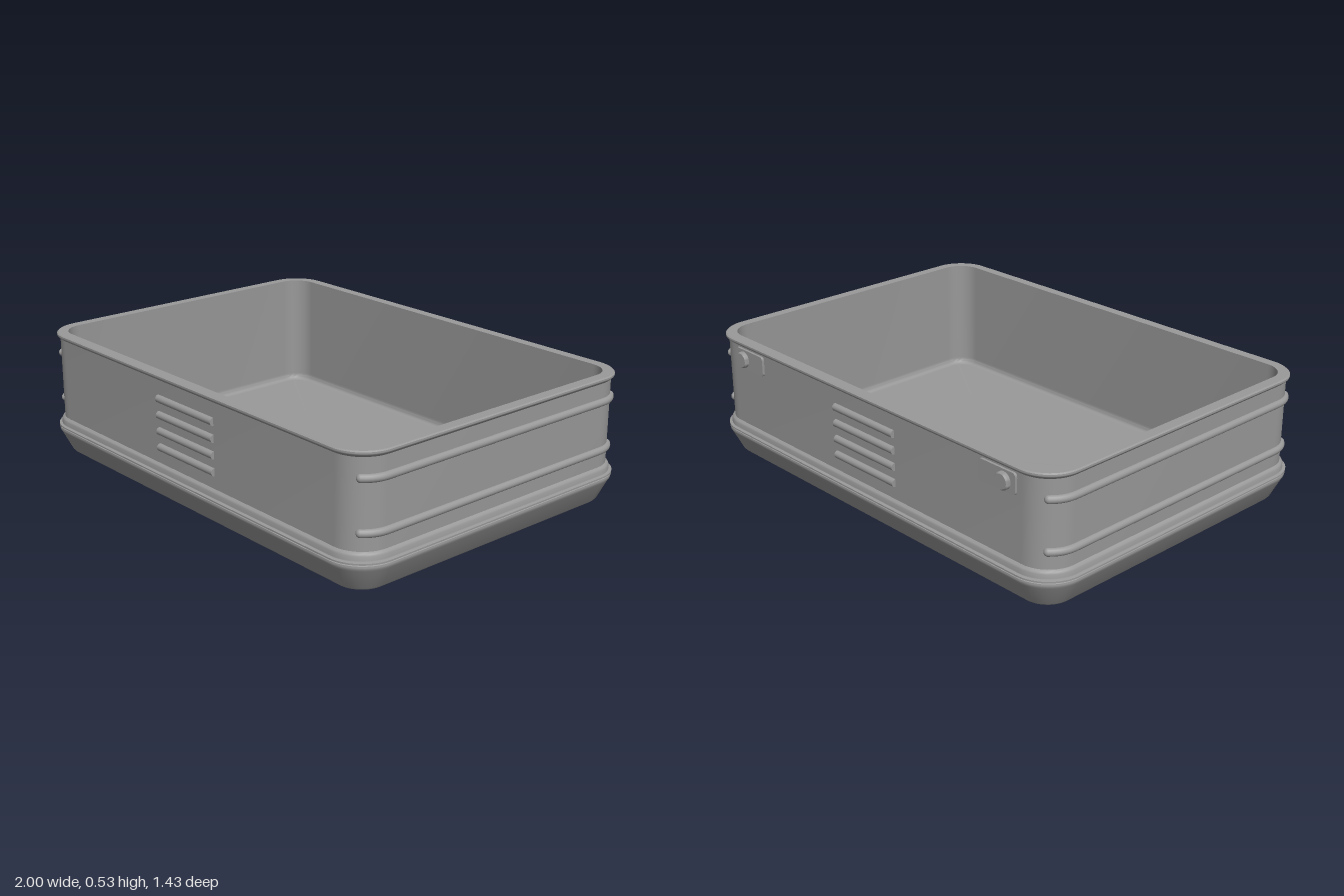
import * as THREE from 'three';
import { toCreasedNormals } from 'three/addons/utils/BufferGeometryUtils.js';

const HALF_W = 1, HALF_D = 0.717, CORNER = 0.155, CORNER_STEPS = 12;
const WALL = 0.026; // inset of the outer wall from the widest outline

// Rounded-rectangle ring at a given inset; a null inset collapses to the centre.
function ring(inset, y) {
  const pts = [];
  const r = CORNER - (inset ?? 0);
  for (let q = 0; q < 4; q++) {
    const sx = q === 0 || q === 3 ? 1 : -1, sz = q < 2 ? 1 : -1;
    for (let i = 0; i <= CORNER_STEPS; i++) {
      const a = (q + i / CORNER_STEPS) * Math.PI / 2;
      pts.push(inset === null ? [0, y, 0] : [
        sx * (HALF_W - CORNER) + r * Math.cos(a), y,
        sz * (HALF_D - CORNER) + r * Math.sin(a)]);
    }
  }
  return pts;
}

// Sweep an [inset, y] profile around the rounded rectangle.
function sweep(profile) {
  const rings = profile.map(([inset, y]) => ring(inset, y));
  const n = rings[0].length, pos = [];
  for (let k = 0; k < rings.length - 1; k++) {
    for (let j = 0; j < n; j++) {
      const m = (j + 1) % n;
      const a = rings[k][j], b = rings[k][m], c = rings[k + 1][j], d = rings[k + 1][m];
      if (profile[k][0] !== null) pos.push(...a, ...c, ...b);
      if (profile[k + 1][0] !== null) pos.push(...b, ...c, ...d);
    }
  }
  const g = new THREE.BufferGeometry();
  g.setAttribute('position', new THREE.Float32BufferAttribute(pos, 3));
  return toCreasedNormals(g, 0.6);
}

// Path along the right or left wall that wraps halfway round both corners.
function sidePath(s) {
  const pts = [], r = CORNER - WALL - 0.001;
  const cx = HALF_W - CORNER, cz = HALF_D - CORNER;
  const arc = (a, side) => pts.push(new THREE.Vector3(
    s * (cx + r * Math.cos(a)), 0, side * (cz + r * Math.sin(a))));
  for (let i = 6; i >= 0; i--) arc(i * Math.PI / 24, -1);
  for (let i = -4; i <= 4; i++) pts.push(new THREE.Vector3(s * (cx + r), 0, cz * i / 5));
  for (let i = 0; i <= 6; i++) arc(i * Math.PI / 24, 1);
  return new THREE.CatmullRomCurve3(pts);
}

export function createModel() {
  const group = new THREE.Group();
  const mat = new THREE.MeshStandardMaterial({ color: 0x999999 });
  const add = (name, geo, x = 0, y = 0, z = 0) => {
    const mesh = new THREE.Mesh(geo, mat);
    mesh.name = name;
    mesh.position.set(x, y, z);
    group.add(mesh);
  };

  // Tapered base, foot bead, wall, flared rim, inner wall and filleted floor
  add('trayShell', sweep([
    [null, 0], [0.078, 0], [0.068, 0], [0.057, 0.004], [0.049, 0.013],
    [0.008, 0.095], [0.003, 0.103], [0.001, 0.112], [0.002, 0.117],
    [0.008, 0.12], [0, 0.122], [0, 0.128], [0.012, 0.13],
    [0.013, 0.133], [0.013, 0.148], [0.017, 0.155], [0.022, 0.159], [WALL, 0.161],
    [WALL, 0.505], [0.021, 0.51], [0.014, 0.516], [0.012, 0.521],
    [0.013, 0.526], [0.018, 0.53], [0.06, 0.53],
    [0.06, 0.07], [0.06, 0.06], [0.063, 0.05], [0.07, 0.043], [0.08, 0.04], [0.09, 0.04],
    [null, 0.04],
  ]));

  // Long ribs on both ends, wrapping into the corners, with rounded tips
  const tip = new THREE.SphereGeometry(0.016, 16, 12);
  for (const s of [-1, 1]) {
    const path = sidePath(s);
    const rib = new THREE.TubeGeometry(path, 72, 0.016, 16);
    for (const y of [0.229, 0.429]) {
      add('sideRib', rib, 0, y, 0);
      for (const t of [0, 1]) {
        const p = path.getPoint(t);
        add('sideRibTip', tip, p.x, y, p.z);
      }
    }
  }

  // Short stacked ribs on front and back
  const wallZ = HALF_D - WALL;
  const gripRib = new THREE.CylinderGeometry(0.016, 0.016, 0.35, 16).rotateZ(Math.PI / 2);
  for (const s of [-1, 1])
    for (let i = 0; i < 4; i++) add('gripRib', gripRib, 0, 0.229 + i * 0.0667, s * wallZ);

  // Fastening plates with round studs on the back
  const plateShape = new THREE.Shape();
  const w = 0.092, h = 0.042, c = 0.016;
  plateShape.moveTo(-w + c, -h).lineTo(w - c, -h);
  plateShape.quadraticCurveTo(w, -h, w, -h + c).lineTo(w, h - c);
  plateShape.quadraticCurveTo(w, h, w - c, h).lineTo(-w + c, h);
  plateShape.quadraticCurveTo(-w, h, -w, h - c).lineTo(-w, -h + c);
  plateShape.quadraticCurveTo(-w, -h, -w + c, -h);
  const plate = new THREE.ExtrudeGeometry(plateShape, { depth: 0.02, bevelEnabled: false });
  const stud = toCreasedNormals(new THREE.LatheGeometry([
    [0.034, 0], [0.034, 0.021], [0.029, 0.027], [0, 0.027],
  ].map(p => new THREE.Vector2(...p)), 24), 0.6).rotateX(-Math.PI / 2);
  for (const s of [-1, 1]) {
    add('backPlate', plate, s * 0.732, 0.457, -wallZ - 0.01);
    add('backStud', stud, s * 0.768, 0.457, -wallZ);
  }
  return group;
}
